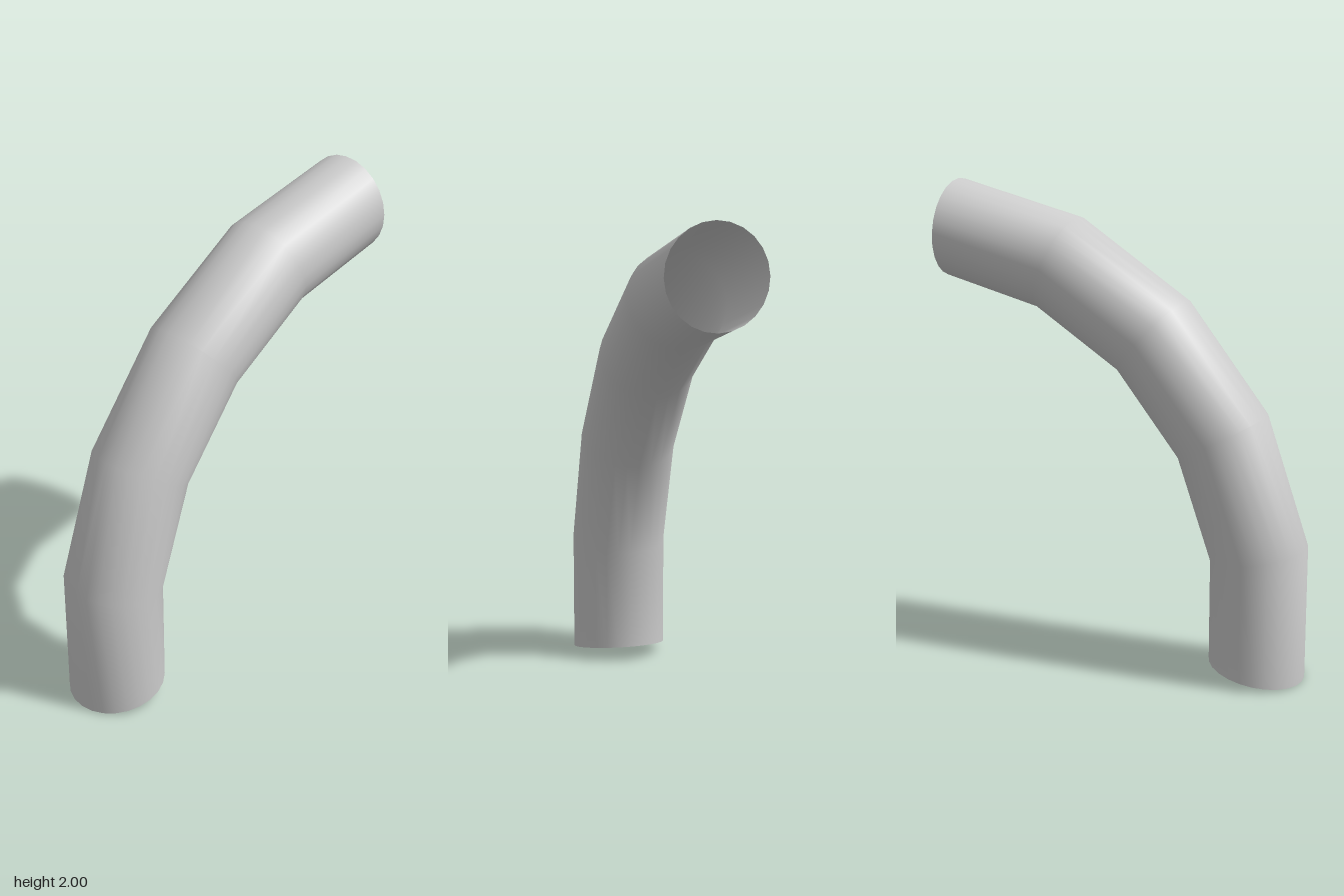
import * as THREE from 'three';

// Mitred cuts along the pipe: [outer x, outer y, inner x, inner y]
const CUTS = [
  [-0.8, 0, -0.4, 0.07],
  [-0.8, 0.575, -0.4, 0.5],
  [-0.615, 1.11, -0.255, 0.915],
  [-0.265, 1.555, 0.01, 1.25],
  [0.21, 1.865, 0.375, 1.485],
  [0.768, 2, 0.798, 1.59],
];
const RADIUS = 0.205;
const SIDES = 24;

// Skin of elliptical rings, one per cut, with shared vertices for smooth shading
function pipeGeometry() {
  const positions = [];
  const index = [];
  CUTS.forEach(([ox, oy, ix, iy], i) => {
    for (let j = 0; j < SIDES; j++) {
      const a = (j / SIDES) * Math.PI * 2;
      const t = (1 - Math.cos(a)) / 2; // 0 on the outside of the bend, 1 on the inside
      positions.push(ox + (ix - ox) * t, oy + (iy - oy) * t, RADIUS * Math.sin(a));
      if (i === CUTS.length - 1) continue;
      const k = (j + 1) % SIDES;
      const p = i * SIDES;
      const q = p + SIDES;
      index.push(p + j, p + k, q + j, p + k, q + k, q + j);
    }
  });
  const geometry = new THREE.BufferGeometry();
  geometry.setAttribute('position', new THREE.Float32BufferAttribute(positions, 3));
  geometry.setIndex(index);
  geometry.computeVertexNormals();
  return geometry;
}

export function createModel() {
  const group = new THREE.Group();
  group.name = 'curvedPipe';
  // Open at both ends, so the inside shows too
  const material = new THREE.MeshStandardMaterial({ color: 0xcccccc, side: THREE.DoubleSide });
  const pipe = new THREE.Mesh(pipeGeometry(), material);
  pipe.name = 'pipeWall';
  group.add(pipe);
  return group;
}
